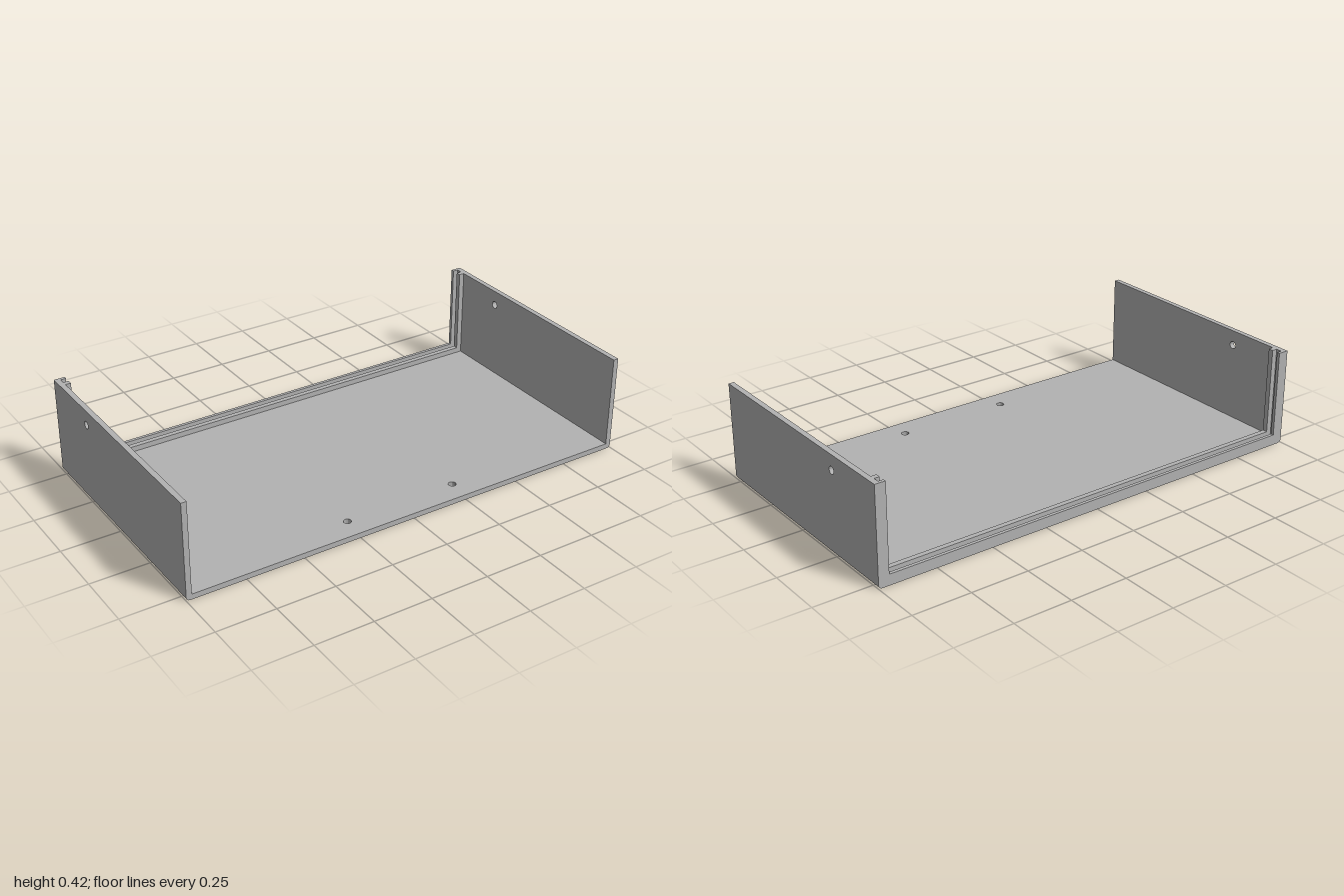
import * as THREE from 'three';
import { toCreasedNormals } from 'three/addons/utils/BufferGeometryUtils.js';

const HALF_W = 1, HALF_D = 0.537, HEIGHT = 0.417;
const WALL = 0.023;    // panel thickness
const RAIL = 0.046;    // panel plus rail thickness
const FILLET = 0.016;  // rounded lower edges
const HOLE = 0.016;    // screw hole radius

// Rectangle with round holes given as [x, y]
function panelShape(x0, y0, x1, y1, holes) {
  const shape = new THREE.Shape();
  shape.moveTo(x0, y0).lineTo(x1, y0).lineTo(x1, y1).lineTo(x0, y1).closePath();
  for (const [x, y] of holes) {
    shape.holes.push(new THREE.Path().absarc(x, y, HOLE, 0, Math.PI * 2, true));
  }
  return shape;
}

function extrude(shape, depth) {
  const geometry = new THREE.ExtrudeGeometry(shape, { depth, bevelEnabled: false, curveSegments: 16 });
  return toCreasedNormals(geometry, 0.6);
}

export function createModel() {
  const group = new THREE.Group();
  const grey = new THREE.MeshStandardMaterial({ color: 0xb2b2b2 });
  grey.name = 'grey';
  const add = (name, geometry) => {
    const mesh = new THREE.Mesh(geometry, grey);
    mesh.name = name;
    group.add(mesh);
  };

  // Floor with two screw holes near the front
  const inner = HALF_W - WALL;
  const floor = panelShape(-inner, -HALF_D, inner, HALF_D, [[-0.25, 0.443], [0.25, 0.443]]);
  add('floor', extrude(floor, WALL).rotateX(Math.PI / 2).translate(0, WALL, 0));

  // Side walls, each with one screw hole towards the back
  const wall = panelShape(-HALF_D, WALL, HALF_D, HEIGHT, [[-0.244, 0.352]]);
  for (const [name, outer] of [['leftWall', HALF_W], ['rightWall', -inner]]) {
    add(name, extrude(wall, WALL).rotateY(-Math.PI / 2).translate(outer, 0, 0));
  }

  // Rounded lower edges joining the floor and walls
  for (const [name, side] of [['leftLowerEdge', 1], ['rightLowerEdge', -1]]) {
    const corner = new THREE.Shape();
    corner.moveTo(side * inner, WALL).lineTo(side * inner, 0).lineTo(side * (HALF_W - FILLET), 0);
    if (side > 0) corner.absarc(HALF_W - FILLET, FILLET, FILLET, -Math.PI / 2, 0, false);
    else corner.absarc(-HALF_W + FILLET, FILLET, FILLET, -Math.PI / 2, -Math.PI, true);
    corner.lineTo(side * HALF_W, WALL).closePath();
    add(name, extrude(corner, HALF_D * 2).translate(0, 0, -HALF_D));
  }

  // Two U-shaped rails leaving a slot for a back panel
  const lip = HALF_W - RAIL;
  const rail = new THREE.Shape([
    [-inner, WALL], [inner, WALL], [inner, HEIGHT], [lip, HEIGHT],
    [lip, RAIL], [-lip, RAIL], [-lip, HEIGHT], [-inner, HEIGHT],
  ].map(([x, y]) => new THREE.Vector2(x, y)));
  for (const [name, z0, z1] of [['backRail', -HALF_D, -0.523], ['innerRail', -0.498, -0.476]]) {
    add(name, extrude(rail, z1 - z0).translate(0, 0, z0));
  }

  return group;
}
